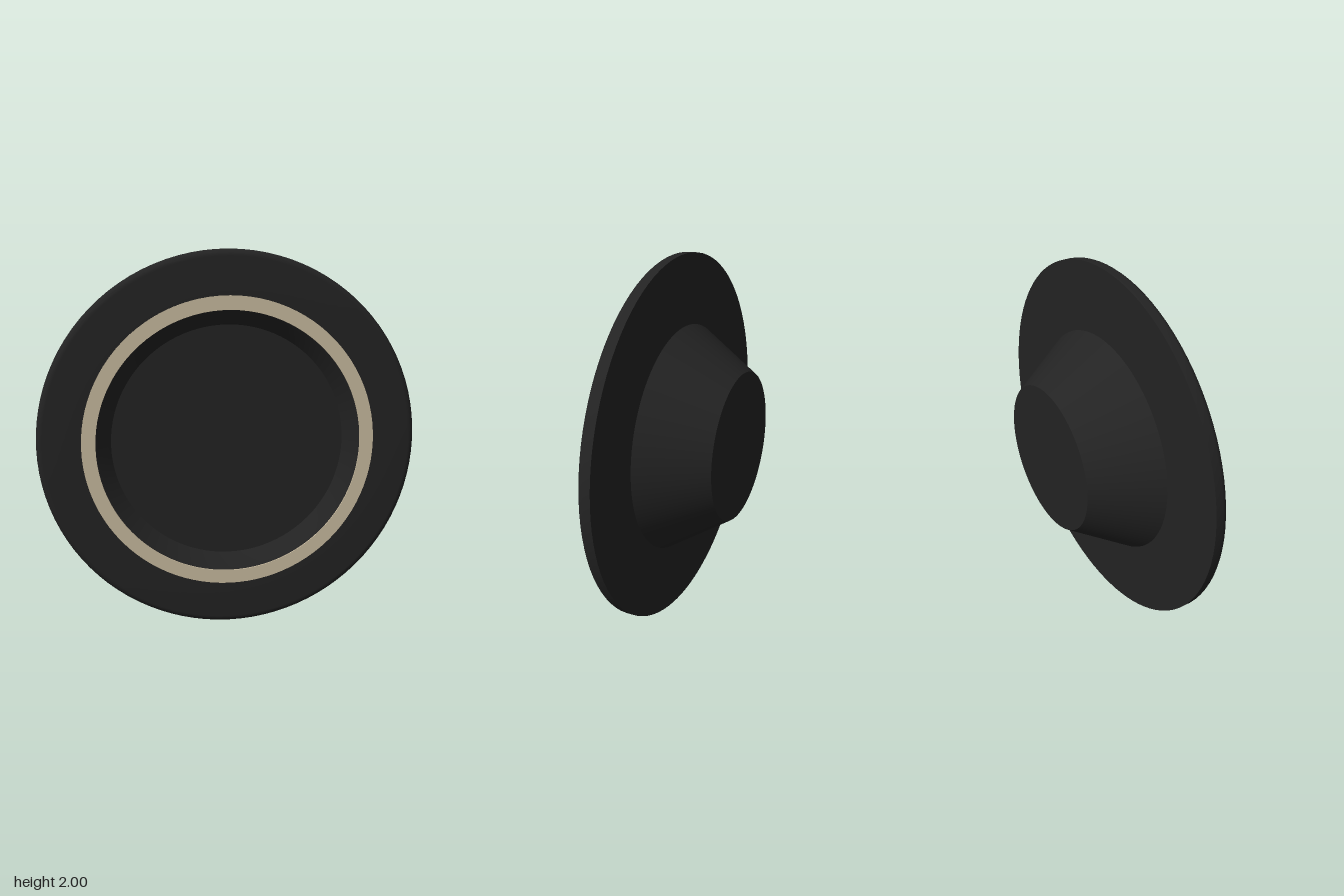
import * as THREE from 'three';
import { toCreasedNormals } from 'three/addons/utils/BufferGeometryUtils.js';

const SEGMENTS = 96;
const BACK = -0.206, FLANGE_BACK = 0.127, FACE = 0.201, FRONT = 0.206;

// Spins a closed [radius, z] profile around the z axis, keeping hard edges sharp
function ring(profile) {
  const points = profile.map(([r, z]) => new THREE.Vector2(r, z));
  const geometry = new THREE.LatheGeometry(points, SEGMENTS).rotateX(Math.PI / 2);
  return toCreasedNormals(geometry, 0.45);
}

export function createModel() {
  const black = new THREE.MeshStandardMaterial({ color: 0x232323 });
  black.name = 'matte black';
  const beige = new THREE.MeshStandardMaterial({ color: 0xc9bb9f });
  beige.name = 'beige';

  const model = new THREE.Group();
  model.name = 'flangedDisc';
  const add = (name, geometry, material) => {
    const mesh = new THREE.Mesh(geometry, material);
    mesh.name = name;
    mesh.position.y = 1;
    model.add(mesh);
    return mesh;
  };

  // Flange: flat back, rounded front edge, sloped wall down into the recess
  const round = 0.035;
  const profile = [[0.62, FLANGE_BACK], [1, FLANGE_BACK]];
  for (let i = 0; i <= 6; i++) {
    const a = (i / 6) * Math.PI / 2;
    profile.push([1 - round + round * Math.cos(a), FACE - round + round * Math.sin(a)]);
  }
  profile.push([0.7, FACE], [0.682, 0.188], [0.62, FLANGE_BACK]);
  add('flange', ring(profile), black);

  // Raised trim ring on the front face
  add('trimRing', ring([
    [0.697, FACE - 0.002], [0.77, FACE - 0.002], [0.77, FRONT], [0.697, FRONT], [0.697, FACE - 0.002],
  ]), beige);

  // Tapered housing; its wide end is the floor of the recess
  const depth = FLANGE_BACK - BACK;
  const housing = new THREE.CylinderGeometry(0.625, 0.408, depth, SEGMENTS).rotateX(Math.PI / 2);
  add('taperedHousing', housing, black).position.z = (FLANGE_BACK + BACK) / 2;

  return model;
}
